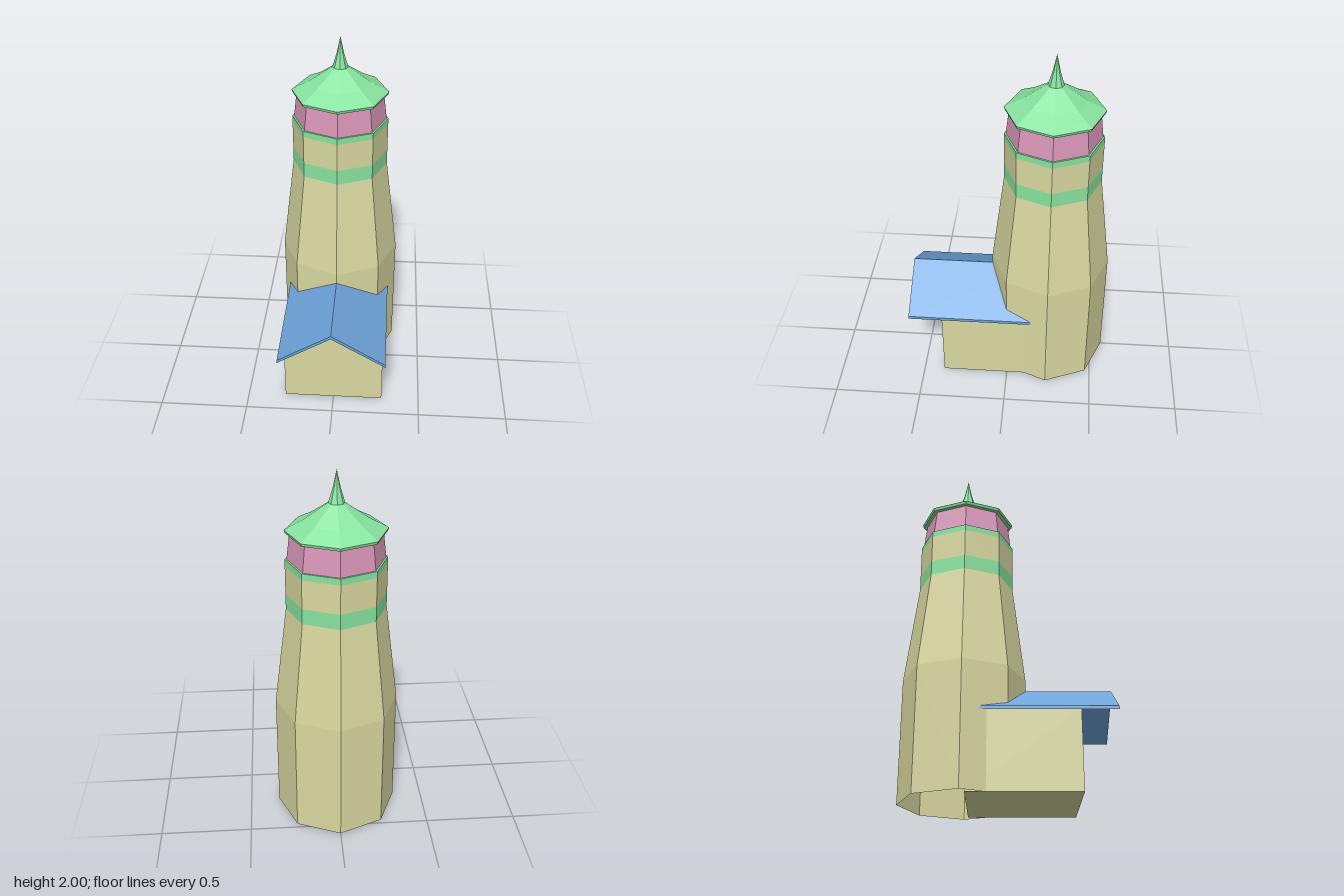
import * as THREE from 'three';

const SIDES = 8;
const mat = (color) => new THREE.MeshStandardMaterial({ color, flatShading: true, side: THREE.DoubleSide });
const wall = mat(0xd8d8a0), green = mat(0x88e4a0), pink = mat(0xd996b8), blue = mat(0x6ea4da);

function add(parent, name, geometry, material) {
  const mesh = new THREE.Mesh(geometry, material);
  mesh.name = name;
  parent.add(mesh);
  return mesh;
}

// Eight-sided shell from [radius, height] pairs, bottom to top
function ring(parent, name, profile, material) {
  const points = profile.map(([r, y]) => new THREE.Vector2(r, y));
  return add(parent, name, new THREE.LatheGeometry(points, SIDES), material);
}

// Front-facing outline extruded between two z positions
function prism(parent, name, outline, zBack, zFront, material) {
  const shape = new THREE.Shape(outline.map(([x, y]) => new THREE.Vector2(x, y)));
  const geo = new THREE.ExtrudeGeometry(shape, { depth: zFront - zBack, bevelEnabled: false });
  return add(parent, name, geo.translate(0, 0, zBack), material);
}

export function createModel() {
  const model = new THREE.Group();
  model.name = 'lighthouse';

  // Tower, open underneath
  const tower = new THREE.Group();
  tower.name = 'tower';
  tower.position.z = -0.234;
  model.add(tower);
  ring(tower, 'towerWall', [[0.337, 0], [0.337, 0.685], [0.267, 1.25]], wall);
  ring(tower, 'lowerBand', [[0.267, 1.25], [0.267, 1.335]], green);
  ring(tower, 'upperWall', [[0.267, 1.335], [0.267, 1.495]], wall);
  ring(tower, 'upperBand', [[0.267, 1.495], [0.267, 1.53], [0.25, 1.53]], green);

  // Lantern room, roof and spire
  ring(tower, 'lanternRoom', [[0.257, 1.53], [0.24, 1.672]], pink);
  ring(tower, 'lanternRoof',
    [[0.0, 1.672], [0.262, 1.672], [0.267, 1.688], [0.262, 1.692], [0.168, 1.742], [0.043, 1.828]], green);
  ring(tower, 'spire', [[0.043, 1.828], [0.02, 1.905], [0, 2]], green);

  // Gabled house joined to the tower
  prism(model, 'house',
    [[-0.283, 0], [0.283, 0], [0.283, 0.432], [0, 0.608], [-0.283, 0.432]], -0.21, 0.38, wall);
  prism(model, 'houseRoof',
    [[-0.298, 0.42], [0, 0.607], [0.298, 0.42], [0.298, 0.438], [0, 0.627], [-0.298, 0.438]],
    -0.21, 0.571, blue);

  return model;
}
